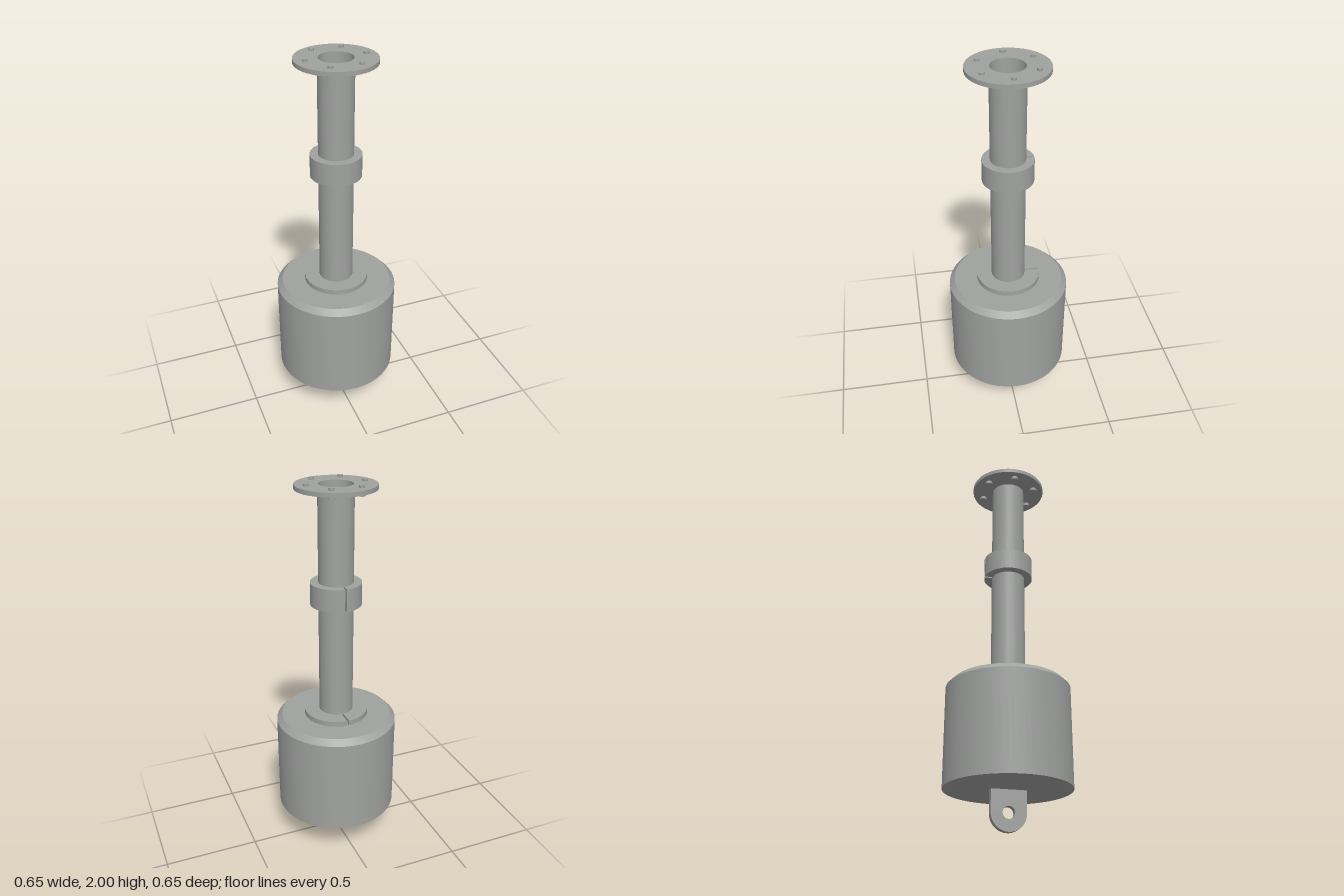
import * as THREE from 'three';
import { toCreasedNormals } from 'three/addons/utils/BufferGeometryUtils.js';

const SEGMENTS = 48;
const steel = new THREE.MeshStandardMaterial({ color: 0xa0a2a0 });
steel.name = 'grey steel';

// Extrude a shape with smooth curves and sharp edges
function extrude(shape, depth) {
  const geometry = new THREE.ExtrudeGeometry(shape, { depth, bevelEnabled: false, curveSegments: SEGMENTS });
  return toCreasedNormals(geometry, 0.5);
}

// Upright ring from y0 to y1
function ring(outer, inner, y0, y1) {
  const shape = new THREE.Shape().absarc(0, 0, outer, 0, Math.PI * 2);
  shape.holes.push(new THREE.Path().absarc(0, 0, inner, 0, Math.PI * 2, true));
  return extrude(shape, y1 - y0).rotateX(-Math.PI / 2).translate(0, y0, 0);
}

// Ring with a narrow slot at the back (-z)
function splitRing(outer, inner, y0, y1, gap) {
  const a = Math.asin(gap / 2 / outer), b = Math.asin(gap / 2 / inner);
  const back = Math.PI / 2, full = Math.PI * 2;
  const shape = new THREE.Shape();
  shape.absarc(0, 0, outer, back + a, back + full - a, false);
  shape.absarc(0, 0, inner, back + full - b, back + b, true);
  shape.closePath();
  return extrude(shape, y1 - y0).rotateX(-Math.PI / 2).translate(0, y0, 0);
}

export function createModel() {
  const model = new THREE.Group();
  model.name = 'flangedPipeAssembly';
  const add = (name, geometry, parent = model) => {
    const mesh = new THREE.Mesh(geometry, steel);
    mesh.name = name;
    parent.add(mesh);
    return mesh;
  };

  // Solid drum with a chamfered top edge
  const profile = [[0, 0.203], [0.323, 0.203], [0.323, 0.722], [0.294, 0.752], [0, 0.752]]
    .map(([x, y]) => new THREE.Vector2(x, y));
  add('drum', toCreasedNormals(new THREE.LatheGeometry(profile, 64), 0.5));

  // Hollow pipe and its two split collars
  add('pipe', ring(0.09, 0.085, 0.752, 1.967));
  add('baseCollar', splitRing(0.17, 0.09, 0.752, 0.78, 0.01));
  add('clampCollar', splitRing(0.132, 0.09, 1.382, 1.5, 0.01));

  // Top flange with six bolts
  add('flange', ring(0.203, 0.085, 1.966, 1.988));
  for (let i = 0; i < 6; i++) {
    const bolt = new THREE.Group();
    bolt.name = 'flangeBolt';
    const angle = i * Math.PI / 3;
    bolt.position.set(Math.cos(angle) * 0.152, 0, Math.sin(angle) * 0.152);
    add('boltShank', new THREE.CylinderGeometry(0.0132, 0.0132, 0.04, 24).translate(0, 1.98, 0), bolt);
    add('boltHead', new THREE.CylinderGeometry(0.019, 0.019, 0.016, 24).translate(0, 1.958, 0), bolt);
    model.add(bolt);
  }

  // Rounded lifting lug with a through hole
  const lug = new THREE.Shape();
  lug.moveTo(0.09, 0.204);
  lug.lineTo(-0.09, 0.204);
  lug.lineTo(-0.09, 0.09);
  lug.absarc(0, 0.09, 0.09, Math.PI, Math.PI * 2, false);
  lug.closePath();
  lug.holes.push(new THREE.Path().absarc(0, 0.092, 0.031, 0, Math.PI * 2, true));
  add('lug', extrude(lug, 0.037).translate(0, 0, -0.0185).rotateY(Math.PI / 2));

  return model;
}
